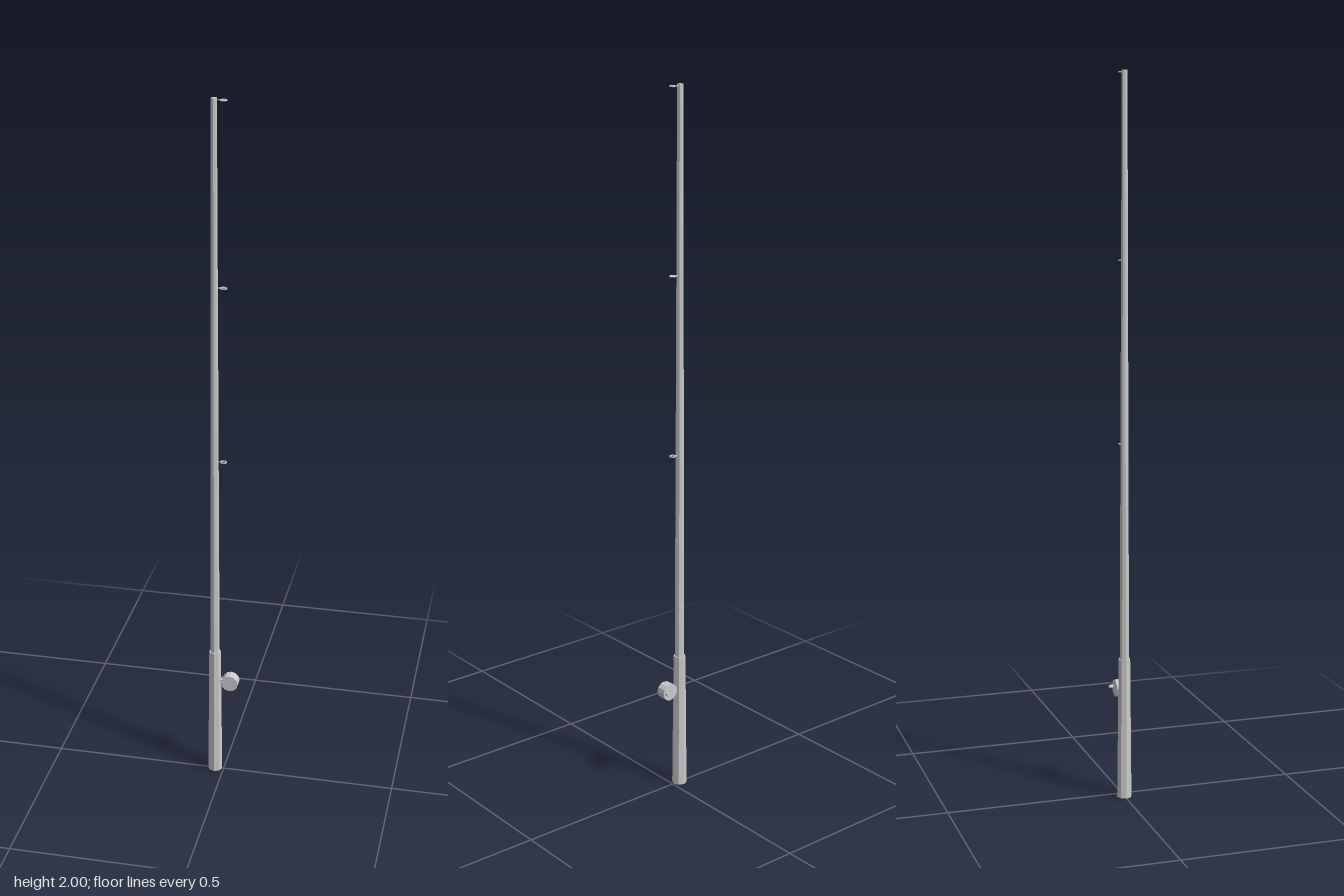
import * as THREE from 'three';

const ROD_X = -0.025;

export function createModel() {
  const group = new THREE.Group();
  const material = new THREE.MeshStandardMaterial({ color: 0xcccccc, flatShading: true });

  const add = (name, geometry, x, y, z) => {
    const mesh = new THREE.Mesh(geometry, material);
    mesh.name = name;
    mesh.position.set(x, y, z);
    group.add(mesh);
    return mesh;
  };

  // Tapered grip and the long thin pole above it
  add('grip', new THREE.CylinderGeometry(0.017, 0.021, 0.4, 8), ROD_X, 0.2, 0);
  add('pole', new THREE.CylinderGeometry(0.008, 0.0135, 1.6, 8), ROD_X, 1.2, 0);

  // Line guides: small flat rings on the reel side
  [1.0, 1.5, 1.995].forEach((y, i) => {
    const ring = new THREE.TorusGeometry(0.008, 0.002, 6, 12).rotateX(Math.PI / 2);
    add('lineGuide' + (i + 1), ring, 0, y, 0);
    const inner = ROD_X + 0.005;
    const outer = -0.007;
    const stem = new THREE.CylinderGeometry(0.0015, 0.0015, outer - inner, 6).rotateZ(Math.PI / 2);
    add('guideStem' + (i + 1), stem, (inner + outer) / 2, y, 0);
  });

  // Reel drum lying across the rod, with its crank peg at the back
  add('reel', new THREE.CylinderGeometry(0.0245, 0.0245, 0.028, 12).rotateX(Math.PI / 2), 0.02, 0.303, 0);
  add('crankPeg', new THREE.CylinderGeometry(0.005, 0.005, 0.013, 8).rotateX(Math.PI / 2), 0.035, 0.304, -0.0195);

  // Short foot joining the reel to the grip
  add('reelFoot', new THREE.BoxGeometry(0.012, 0.012, 0.012), -0.007, 0.303, 0);

  return group;
}
